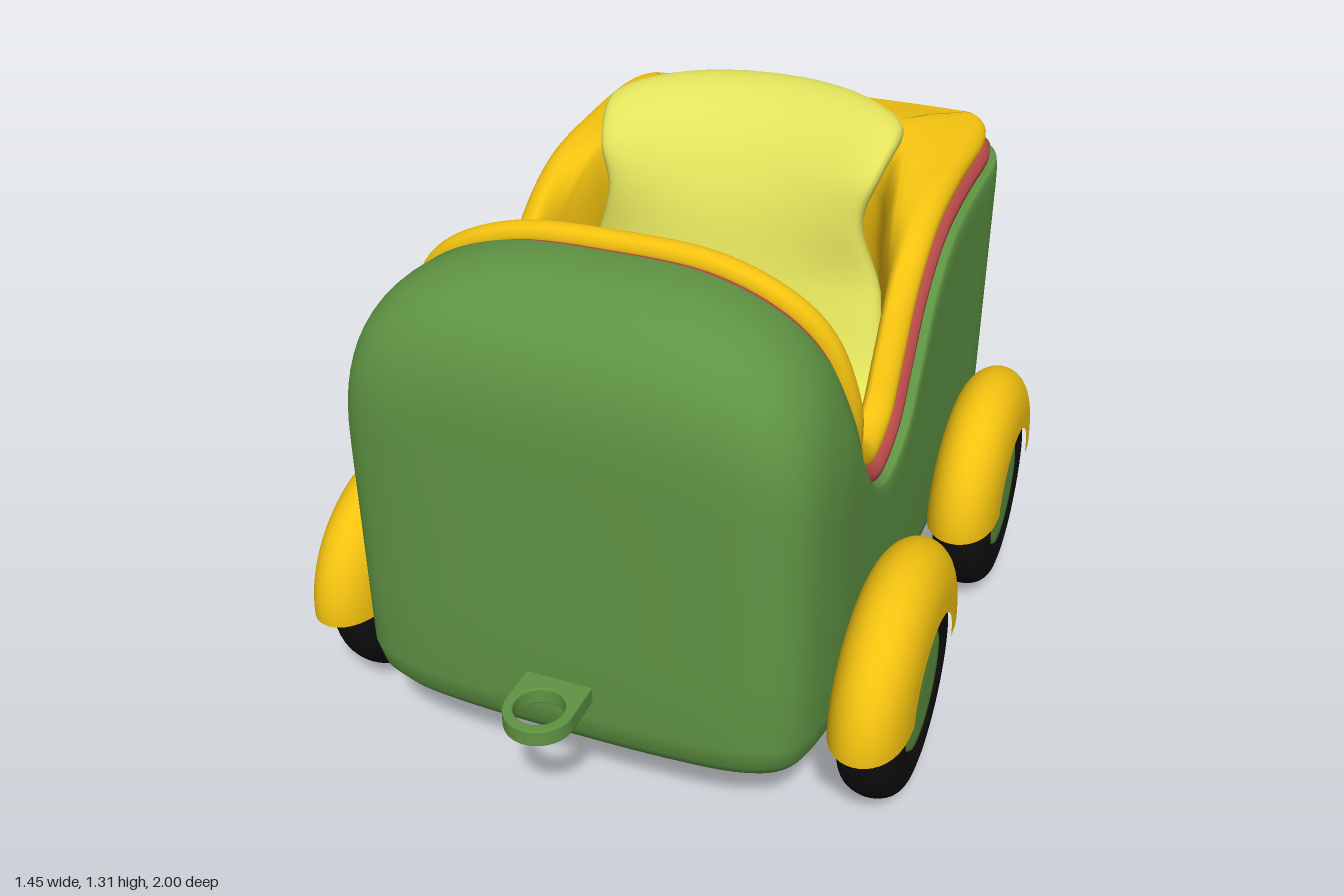
import * as THREE from 'three';

const mat = (color) => new THREE.MeshStandardMaterial({ color, side: THREE.DoubleSide });
const V = (x, y, z) => new THREE.Vector3(x, y, z);

// Half outline from front centre to rear centre:
// [wall x, wall z, opening edge x, y, z, rim tilt in degrees]
const OUTER = [
  [0, 0.83, 0, 1.27, 0.53, -78], [0.25, 0.825, 0.21, 1.26, 0.53, -78],
  [0.42, 0.805, 0.37, 1.205, 0.53, -78], [0.51, 0.75, 0.47, 1.11, 0.515, -78],
  [0.545, 0.62, 0.525, 0.97, 0.49, -76], [0.55, 0.46, 0.54, 0.84, 0.445, -65],
  [0.55, 0.36, 0.54, 0.74, 0.37, -42], [0.55, 0.24, 0.54, 0.68, 0.24, 0],
  [0.55, 0.1, 0.54, 0.72, 0.09, 34], [0.55, 0, 0.54, 0.83, 0, 52],
  [0.55, -0.1, 0.54, 0.96, -0.1, 45], [0.55, -0.25, 0.54, 1.05, -0.25, 18],
  [0.55, -0.45, 0.54, 1.08, -0.45, 4], [0.55, -0.67, 0.54, 1.09, -0.7, 0],
  [0.5, -0.785, 0.495, 1.09, -0.82, 0], [0.4, -0.815, 0.39, 1.09, -0.85, 0],
  [0, -0.82, 0, 1.09, -0.86, 0],
];
// Matching points of the cockpit lining below the rim: [x, y, z]
const INNER = [
  [0, 1.12, 0.6], [0.18, 1.11, 0.6], [0.32, 1.05, 0.6], [0.4, 0.96, 0.57],
  [0.43, 0.87, 0.51], [0.435, 0.79, 0.42], [0.435, 0.71, 0.35], [0.435, 0.67, 0.24],
  [0.435, 0.71, 0.1], [0.435, 0.83, 0.02], [0.43, 0.97, -0.07], [0.4, 1.1, -0.2],
  [0.37, 1.15, -0.32], [0.33, 1.17, -0.41], [0.25, 1.18, -0.45], [0.18, 1.18, -0.46],
  [0, 1.18, -0.46],
];

// Closed curve through half a loop and its mirror image
function mirroredLoop(half) {
  const back = half.slice(1, -1).reverse().map((p) => V(-p.x, p.y, p.z));
  return new THREE.CatmullRomCurve3([...half, ...back], true, 'catmullrom', 0.5);
}

// Skin over columns of points; the columns close into a loop
function loft(columns) {
  const n = columns.length, m = columns[0].length, pos = [], idx = [];
  columns.forEach((c) => c.forEach((p) => pos.push(p.x, p.y, p.z)));
  for (let i = 0; i < n; i++) {
    for (let j = 0; j < m - 1; j++) {
      const a = i * m + j, b = ((i + 1) % n) * m + j;
      idx.push(a, b, b + 1, a, b + 1, a + 1);
    }
  }
  const g = new THREE.BufferGeometry();
  g.setAttribute('position', new THREE.Float32BufferAttribute(pos, 3));
  g.setIndex(idx);
  g.computeVertexNormals();
  return g;
}

// Body wall, trim and cockpit lining share one set of columns round the opening
function shellColumns() {
  const wall = mirroredLoop(OUTER.map((r) => V(r[0], r[5], r[1])));
  const edge = mirroredLoop(OUTER.map((r) => V(r[2], r[3], r[4])));
  const lining = mirroredLoop(INNER.map((r) => V(...r)));
  const body = [], trim = [], tub = [], COUNT = 192;
  for (let i = 0; i < COUNT; i++) {
    const t = i / COUNT, P = wall.getPoint(t), E = edge.getPoint(t), M = lining.getPoint(t);
    const a = THREE.MathUtils.degToRad(P.y);
    const N = V(0, Math.cos(a), Math.sin(a));
    const O = edge.getTangent(t).cross(N).normalize();
    const rim = (n, o) => E.clone().addScaledVector(N, n).addScaledVector(O, o);
    const wallAt = (y, s) => V(P.x * s, y, P.z * s * (P.z < 0 ? 1 + 0.05 * (y - 0.2) / 0.9 : 1));

    // rounded bottom, straight wall, shoulder up to the opening, lip
    const col = [[0.19, 0], [0.19, 0.6], [0.19, 0.87], [0.197, 0.92], [0.215, 0.955], [0.25, 0.983], [0.31, 1]]
      .map(([y, s]) => wallAt(y, s));
    const bend = 0.05 + Math.min(0.3, Math.hypot(P.x - E.x, P.z - E.z));
    const yb = E.y - bend;
    for (const k of [0.33, 0.66]) col.push(wallAt(0.31 + (yb - 0.31) * k, 1));
    for (let k = 0; k <= 12; k++) {
      const u = (k / 12) * Math.PI / 2;
      const h = 1 - Math.pow(Math.max(0, Math.cos(u)), 0.75);
      const y = yb + bend * Math.pow(Math.sin(u), 0.75);
      const w = wallAt(y, 1);
      col.push(V(w.x + (E.x - w.x) * h, y, w.z + (E.z - w.z) * h));
    }
    col.push(rim(0.006, -0.012), rim(0, -0.045));
    body.push(col);

    trim.push([rim(-0.005, -0.03), rim(0.005, -0.014), rim(0.022, -0.014), rim(0.035, -0.03), rim(0.035, -0.07)]);

    // rolled rim running on into the lining and floor
    const s = 0.035 * THREE.MathUtils.clamp((E.z - 0.42) / 0.1, 0, 1);
    const roll = [[0.03, -0.075], [0.028, -0.05], [0.04, -0.032], [0.065, -0.03], [0.088, -0.05], [0.096, -0.085]]
      .map(([n, o]) => rim(n, o + s));
    const path = new THREE.CatmullRomCurve3([...roll, M, V(M.x, Math.min(0.6, M.y - 0.06), M.z),
      V(M.x * 0.92, 0.5, M.z * 0.92)], false, 'centripetal');
    const inside = [];
    for (let k = 0; k <= 40; k++) inside.push(path.getPoint(k / 40));
    inside.push(V(0, 0.5, 0.1));
    tub.push(inside);
  }
  return { body, trim, tub };
}

// Padded seat: a soft section swept from the front edge up and over the backrest
function seatGeometry() {
  const path = new THREE.CatmullRomCurve3([[0.58, 0.33], [0.59, 0.08], [0.68, -0.12], [0.88, -0.21],
    [1.07, -0.27], [1.19, -0.35], [1.255, -0.47], [1.225, -0.58]].map(([y, z]) => V(0, y, z)));
  const width = new THREE.CatmullRomCurve3([0.38, 0.42, 0.42, 0.39, 0.33, 0.36, 0.38, 0.35]
    .map((w, i) => V(w, i, 0)));
  const soft = (v, p) => Math.sign(v) * Math.pow(Math.abs(v), p);
  const columns = [];
  for (let i = 0; i < 48; i++) {
    const th = (i / 48) * Math.PI * 2, col = [];
    for (let j = 0; j <= 56; j++) {
      const t = (1 - Math.cos((j / 56) * Math.PI)) / 2;
      const e = Math.min(1, t / 0.1, (1 - t) / 0.1);
      const f = Math.sqrt(Math.max(0, 1 - (1 - e) ** 2));
      const N = path.getTangent(t).cross(V(1, 0, 0));
      const w = width.getPoint(t).x * (0.8 + 0.2 * f);
      const p = path.getPoint(t).addScaledVector(N, 0.065 * f * soft(Math.sin(th), 0.8));
      p.x = w * soft(Math.cos(th), 0.75);
      p.z += 0.9 * p.x * p.x * THREE.MathUtils.smoothstep(p.y, 0.9, 1.2);
      col.push(p);
    }
    columns.push(col);
  }
  return loft(columns);
}

// Surface of revolution about the x axis from [radius, x] points
function latheX(points, start = 0, length = Math.PI * 2) {
  const g = new THREE.LatheGeometry(points.map(([r, x]) => new THREE.Vector2(r, x)), 56, start, length);
  return g.rotateZ(-Math.PI / 2);
}

// Domed profile between two side faces
function dome(base, top, half, power) {
  const pts = [];
  for (let k = 0; k <= 20; k++) {
    const u = -Math.PI / 2 + (k / 20) * Math.PI;
    pts.push([base + (top - base) * Math.pow(Math.max(0, Math.cos(u)), power), half * Math.sin(u)]);
  }
  return pts;
}

// Flat tongue with a round end, reaching along +z from the body
function tongue(hole) {
  const s = new THREE.Shape();
  s.moveTo(0.075, 0.18);
  s.lineTo(0.075, 0);
  s.absarc(0, 0, 0.075, 0, -Math.PI, true);
  s.lineTo(-0.075, 0.18);
  if (hole) s.holes.push(new THREE.Path().absarc(0, 0, 0.058, 0, Math.PI * 2, false));
  return new THREE.ExtrudeGeometry(s, { depth: 0.032, bevelEnabled: true, bevelSize: 0.003, bevelThickness: 0.004, bevelSegments: 2, curveSegments: 32 })
    .rotateX(-Math.PI / 2);
}

export function createModel() {
  const model = new THREE.Group();
  const green = mat(0x5f9443), yellow = mat(0xf2c10f), cream = mat(0xe2e25c);
  const red = mat(0xb84a48), black = mat(0x0e0e0e);
  const add = (name, geo, material, x = 0, y = 0, z = 0, parent = model) => {
    const mesh = new THREE.Mesh(geo, material);
    mesh.name = name;
    mesh.position.set(x, y, z);
    parent.add(mesh);
    return mesh;
  };

  // Shell and seat
  const shell = shellColumns();
  add('body', loft(shell.body), green);
  add('redTrim', loft(shell.trim), red);
  add('cockpitRimAndLining', loft(shell.tub), yellow);
  add('seat', seatGeometry(), cream);

  // Wheels and mudguards
  const tyre = latheX([[0.13, -0.066], ...dome(0.19, 0.26, 0.073, 0.8), [0.155, 0.07], [0.14, 0.055]]);
  const hub = latheX([[0, -0.1], [0.14, -0.1], [0.143, 0.06], [0.138, 0.068], [0.125, 0.066], [0, 0.07]]);
  const guard = latheX(dome(0.165, 0.332, 0.089, 0.75), Math.PI, Math.PI);
  for (const side of [1, -1]) {
    for (const z of [0.425, -0.43]) {
      const wheel = new THREE.Group();
      wheel.name = (z > 0 ? 'front' : 'rear') + (side > 0 ? 'Left' : 'Right') + 'Wheel';
      wheel.position.set(side * 0.634, 0, z);
      if (side < 0) wheel.rotation.y = Math.PI;
      add('tyre', tyre, black, 0, 0.266, 0, wheel);
      add('hub', hub, green, 0, 0.266, 0, wheel);
      add('mudguard', guard, yellow, 0, 0.3, 0, wheel).scale.y = 0.89;
      model.add(wheel);
    }
  }

  // Couplings: ring at the front, peg at the rear
  add('frontCouplingRing', tongue(true), green, 0, 0.36, 0.922).rotation.y = 0;
  add('rearCouplingPlate', tongue(false), green, 0, 0.314, -0.922).rotation.y = Math.PI;
  add('rearCouplingPeg', new THREE.CylinderGeometry(0.057, 0.057, 0.09, 32), green, 0, 0.377, -0.922);
  return model;
}
